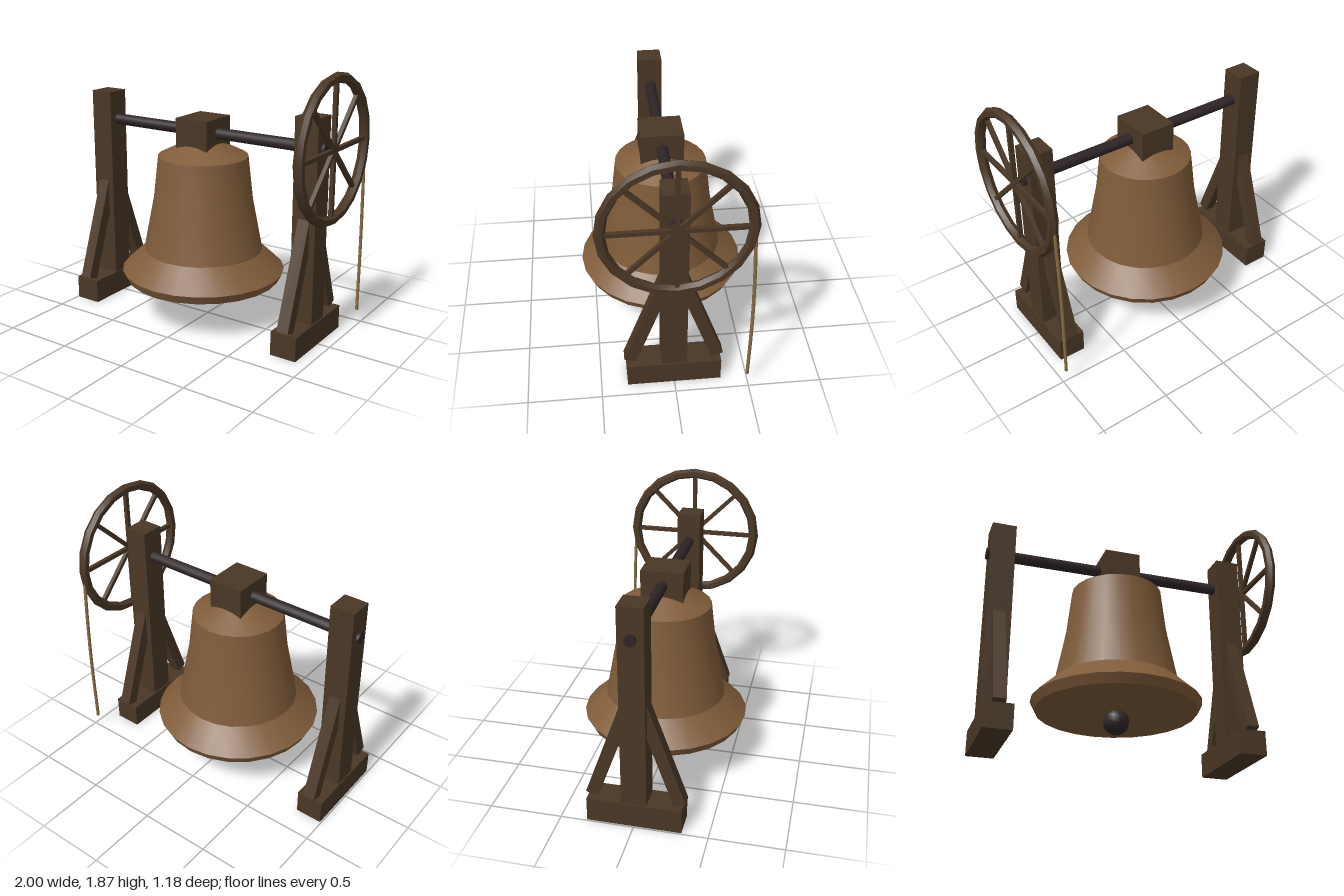
import * as THREE from 'three';
import { toCreasedNormals } from 'three/addons/utils/BufferGeometryUtils.js';

export function createModel() {
  const material = (name, color) => {
    const m = new THREE.MeshStandardMaterial({ color });
    m.name = name;
    return m;
  };
  const wood = material('dark wood', 0x4a3726);
  const bronze = material('bronze', 0x805c3a);
  const iron = material('iron', 0x2e2426);
  const hemp = material('hemp rope', 0x8a6f48);

  const root = new THREE.Group();
  root.name = 'bellFrame';
  const add = (parent, name, geometry, mat, x = 0, y = 0, z = 0) => {
    const mesh = new THREE.Mesh(geometry, mat);
    mesh.name = name;
    mesh.position.set(x, y, z);
    parent.add(mesh);
    return mesh;
  };

  const CX = -0.04;      // middle of bell and frame
  const AXLE_Y = 1.37;

  // Two uprights, each with a foot and a pair of leaning braces
  for (const side of [-1, 1]) {
    const support = new THREE.Group();
    support.name = side > 0 ? 'leftSupport' : 'rightSupport';
    support.position.x = CX + side * 0.855;
    root.add(support);
    add(support, 'foot', new THREE.BoxGeometry(0.19, 0.17, 0.64), wood, 0, 0.085, 0);
    add(support, 'post', new THREE.BoxGeometry(0.17, 1.42, 0.17), wood, 0, 0.87, 0);
    for (const end of [-1, 1]) {
      const brace = add(support, end > 0 ? 'frontBrace' : 'backBrace',
        new THREE.BoxGeometry(0.085, 0.8, 0.083), wood, 0, 0.554, end * 0.164);
      brace.rotation.x = -end * 0.342;
    }
  }

  // Axle and headstock
  const axle = add(root, 'axle',
    toCreasedNormals(new THREE.CylinderGeometry(0.04, 0.04, 1.92, 10), 0.8), iron, CX, AXLE_Y, 0);
  axle.rotation.z = Math.PI / 2;
  add(root, 'headstock', new THREE.BoxGeometry(0.256, 0.255, 0.296), wood, CX, 1.3475, 0);

  // Bell, closed underneath
  const profile = [
    [0, 0.302], [0.556, 0.302], [0.588, 0.365], [0.428, 0.515],
    [0.355, 0.89], [0.32, 1.2], [0.12, 1.3], [0, 1.3],
  ].map(([r, y]) => new THREE.Vector2(r, y));
  add(root, 'bell', toCreasedNormals(new THREE.LatheGeometry(profile, 24), 0.45), bronze, CX, 0, 0);
  add(root, 'clapper', new THREE.SphereGeometry(0.09, 12, 10), iron, CX, 0.235, 0);

  // Rope wheel with eight spokes
  const wheel = new THREE.Group();
  wheel.name = 'wheel';
  wheel.position.set(0.968, AXLE_Y, 0);
  root.add(wheel);
  const rim = add(wheel, 'rim',
    toCreasedNormals(new THREE.TorusGeometry(0.467, 0.035, 6, 20), 0.6), wood);
  rim.rotation.y = Math.PI / 2;
  for (let i = 0; i < 4; i++) {
    const spoke = add(wheel, 'spokePair', new THREE.BoxGeometry(0.028, 0.91, 0.028), wood);
    spoke.rotation.x = (i * Math.PI) / 4;
  }

  // Hanging rope, slightly bowed
  const path = new THREE.CatmullRomCurve3([
    [1.37, -0.47], [1.0, -0.488], [0.6, -0.497], [0.09, -0.492],
  ].map(([y, z]) => new THREE.Vector3(0.968, y, z)));
  add(root, 'rope', new THREE.TubeGeometry(path, 8, 0.012, 6, false), hemp);
  add(root, 'ropeEnd', new THREE.CylinderGeometry(0.012, 0.012, 0.01, 6), hemp, 0.968, 0.094, -0.492);

  return root;
}
